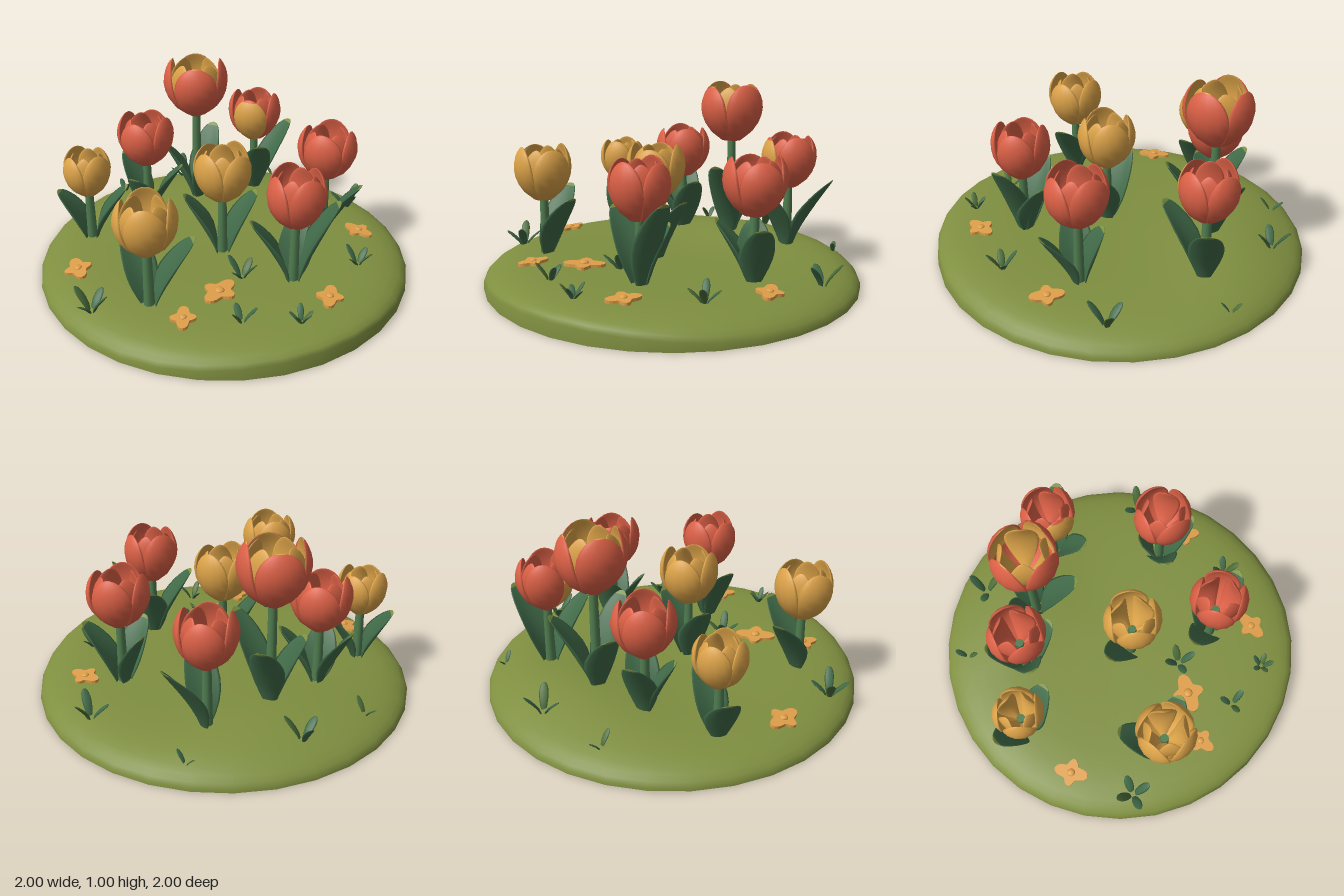
import * as THREE from 'three';
import { mergeVertices } from 'three/addons/utils/BufferGeometryUtils.js';

const mat = (name, color) => {
  const m = new THREE.MeshStandardMaterial({ color });
  m.name = name;
  return m;
};
const moss = mat('moss', 0x7f8f40), red = mat('coral red', 0xdb6046), amber = mat('amber', 0xdba248);
const leafGreen = mat('leaf green', 0x406a48), stemGreen = mat('stem green', 0x507d50);
const olive = mat('olive tip', 0x7d9142), grassGreen = mat('grass green', 0x4a6c3a), orange = mat('orange', 0xdf9f4a);

const { sin, cos, PI, sqrt, pow, exp, max, min, hypot } = Math;

// Height of the mound at a ground position
function groundY(x, z) {
  const r = min(1, hypot(x, z)), fall = max(0, 1 - pow(r, 8));
  const back = 0.05 * exp(-((x - 0.15) ** 2 / 0.25 + (z + 0.6) ** 2 / 0.05));
  const front = 0.03 * max(0, z);
  return 0.01 + 0.105 * pow(fall, 0.6) + fall * back + front * pow(fall, 0.3) + 0.045 * pow(max(0, z), 4) * (1 - fall);
}

function mesh(name, geometry, material, parent) {
  const m = new THREE.Mesh(geometry, material);
  m.name = name;
  parent.add(m);
  return m;
}

// Closed thin blade: rows climb to a tip, each row a lens-shaped ring.
// point(u, q) gives the position, paint(u, q) the material index.
function blade(rows, cols, point, paint = () => 0) {
  const pos = [], lists = [[], []];
  const us = Array.from({ length: rows + 1 }, (_, i) => sin((i / rows) * PI / 2));
  for (const u of us) for (let j = 0; j < cols; j++) pos.push(...point(u, (j / cols) * 2 * PI));
  for (let i = 0; i < rows; i++) for (let j = 0; j < cols; j++) {
    const k = (j + 1) % cols, a = i * cols + j, b = i * cols + k, c = b + cols, d = a + cols;
    lists[paint((us[i] + us[i + 1]) / 2, ((j + 0.5) / cols) * 2 * PI)].push(a, d, c, a, c, b);
  }
  const g = new THREE.BufferGeometry();
  g.setAttribute('position', new THREE.Float32BufferAttribute(pos, 3));
  g.setIndex([...lists[0], ...lists[1]]);
  g.addGroup(0, lists[0].length, 0);
  g.addGroup(lists[0].length, lists[1].length, 1);
  g.computeVertexNormals();
  return g;
}

// Cupped petal around the y axis; flat petals follow a chord instead of an arc
function petal({ R, H, phi, spread, flat = false, paint }) {
  return blade(10, 14, (u, q) => {
    const g = sqrt(max(0, 1 - pow(u, 5)));
    const a = spread * g * cos(q);
    let r = R * pow(sin(PI * (0.03 + 0.75 * u)), 0.55);
    if (flat) r /= cos(a);
    r += 0.014 * g * sin(q) + 0.05 * R * cos(q) * g * u;
    return [r * sin(phi + a), H * u, r * cos(phi + a)];
  }, paint);
}

// Broad leaf leaning outward from the stem, its edges curled inward
function leaf(phi, reach, height, width) {
  return blade(11, 12, (u, q) => {
    const g = (0.3 + 0.7 * sin(PI / 2 * min(1, u / 0.6))) * sqrt(max(0, 1 - pow(u, 4)));
    const t = width * g * cos(q);
    const n = 0.025 + reach * pow(u, 1.35) + 0.014 * g * sin(q) - 0.04 * (g * cos(q)) ** 2;
    return [n * sin(phi) + t * cos(phi), height * u - 0.02, n * cos(phi) - t * sin(phi)];
  }, (u) => (u > 0.96 ? 1 : 0));
}

// Tulips: position, bloom radius, bloom base and top, colour, leaves [dx, dz, tip height]
const tulips = [
  { x: -0.62, z: -0.40, R: 0.12, y0: 0.38, y1: 0.63, c: amber, leaves: [[-0.13, -0.10, 0.38], [0.18, 0.08, 0.42]] },
  { x: -0.24, z: -0.49, R: 0.145, y0: 0.44, y1: 0.73, c: red, leaves: [[-0.06, -0.16, 0.46], [0.15, 0.12, 0.44], [-0.11, 0.08, 0.4]] },
  { x: 0.08, z: -0.50, R: 0.167, y0: 0.68, y1: 1.0, c: red, tipped: true, leaves: [[0.17, -0.13, 0.53], [0.04, 0.24, 0.57], [-0.15, -0.06, 0.48]] },
  { x: 0.45, z: -0.48, R: 0.14, y0: 0.46, y1: 0.745, c: red, patch: true, leaves: [[0.24, -0.01, 0.52], [-0.08, 0.21, 0.5]] },
  { x: -0.05, z: 0.08, R: 0.142, y0: 0.44, y1: 0.73, c: amber, leaves: [[-0.17, -0.09, 0.46], [0.18, 0.02, 0.45]] },
  { x: 0.56, z: 0.13, R: 0.148, y0: 0.45, y1: 0.74, c: red, leaves: [[-0.17, 0.06, 0.42], [0.12, 0.15, 0.43], [-0.05, -0.1, 0.4]] },
  { x: -0.59, z: 0.35, R: 0.143, y0: 0.42, y1: 0.71, c: amber, leaves: [[-0.01, -0.23, 0.46], [0.22, 0.04, 0.46]] },
  { x: 0.14, z: 0.50, R: 0.14, y0: 0.45, y1: 0.745, c: red, leaves: [[0.19, 0.08, 0.57], [-0.2, -0.08, 0.48], [0.08, -0.11, 0.42]] },
];

function makeTulip(t, index) {
  const g = new THREE.Group(), ground = groundY(t.x, t.z);
  g.name = 'tulip';
  g.position.set(t.x, ground, t.z);
  const rise = t.y0 - ground;
  mesh('stem', new THREE.CylinderGeometry(0.022, 0.028, rise + 0.06, 10), stemGreen, g).position.y = rise / 2;
  for (const [dx, dz, top] of t.leaves)
    mesh('leaf', leaf(Math.atan2(dx, dz), hypot(dx, dz) * 0.95, top - ground + 0.02, 0.092), [leafGreen, olive], g);

  const bloom = new THREE.Group();
  bloom.name = 'bloom';
  bloom.position.y = rise;
  g.add(bloom);
  const H = t.y1 - t.y0, turn = t.patch ? PI / 4 : 0.3 + index * 0.4;
  for (let i = 0; i < 4; i++) {
    const phi = turn + i * PI / 2;
    const tip = (u, q) => (t.tipped && (u > 0.97 || (sin(q) < -0.3 && u > 0.4)) ? 1 : 0);
    const patch = (u, q) => (sin(q) > 0 && u < 0.95 ? 1 : 0);
    const painted = t.patch && i === 3;
    mesh('outerPetal', petal({ R: t.R, H: H * (i % 2 ? 0.96 : 1), phi, spread: 0.82, paint: painted ? patch : tip }), [t.c, amber], bloom);
    mesh('innerPetal', petal({ R: t.R * 0.7, H: H * 0.95, phi: phi + PI / 4, spread: 0.66, flat: true }),
      [t.tipped ? amber : t.c, amber], bloom);
  }
  return g;
}

// Grass tuft of short pointed blades fanned around a point
function makeTuft([x, z, count, size, start], index) {
  const g = new THREE.Group();
  g.name = 'grassTuft';
  g.position.set(x, groundY(x, z) - 0.01, z);
  for (let i = 0; i < count; i++) {
    const phi = start + (i * 2 * PI) / count, h = size * (i % 2 ? 0.8 : 1.1), out = size * 0.75;
    const geo = blade(6, 8, (u, q) => {
      const w = size * 0.24 * (0.4 + 1.2 * u) * sqrt(max(0, 1 - u * u)), s = w * cos(q);
      const n = size * 0.12 + out * pow(u, 1.4) + w * 0.35 * sin(q);
      return [n * sin(phi) + s * cos(phi), h * u, n * cos(phi) - s * sin(phi)];
    });
    mesh('grassBlade', geo, (i + index) % 3 === 0 ? grassGreen : leafGreen, g);
  }
  return g;
}

// Flat lobed ground flower with a raised button centre
function makeGroundFlower([x, z, r, turn]) {
  const g = new THREE.Group();
  g.name = 'groundFlower';
  const pts = Array.from({ length: 40 }, (_, i) => {
    const a = (i / 40) * 2 * PI, rad = r * (0.78 + 0.2 * cos(4 * a) + 0.12 * cos(2 * a));
    return new THREE.Vector2(rad * cos(a), rad * sin(a));
  });
  const geo = new THREE.ExtrudeGeometry(new THREE.Shape(pts), { depth: 0.016, bevelEnabled: false }).rotateX(-PI / 2);
  mesh('flowerPetals', geo, orange, g);
  const button = mesh('flowerCentre', new THREE.SphereGeometry(r * 0.25, 10, 6), orange, g);
  button.position.y = 0.016;
  button.scale.y = 0.5;
  const e = 0.05;
  const up = new THREE.Vector3(groundY(x - e, z) - groundY(x + e, z), 2 * e, groundY(x, z - e) - groundY(x, z + e)).normalize();
  g.quaternion.setFromUnitVectors(new THREE.Vector3(0, 1, 0), up)
    .multiply(new THREE.Quaternion().setFromAxisAngle(new THREE.Vector3(0, 1, 0), turn));
  g.position.set(x, groundY(x, z) + 0.003, z);
  return g;
}

export function createModel() {
  const model = new THREE.Group();
  model.name = 'tulipBed';

  // Mound: a turned disc shaped by the ground height, with a flat base
  const radii = [1, 0.998, 0.985, 0.96, 0.92, 0.86, 0.78, 0.66, 0.52, 0.36, 0.18, 0.0001];
  let top = new THREE.LatheGeometry(radii.map((r) => new THREE.Vector2(r, 0)), 32);
  const p = top.attributes.position;
  for (let i = 0; i < p.count; i++) if (i % radii.length) p.setY(i, groundY(p.getX(i), p.getZ(i)));
  top.deleteAttribute('uv');
  top.deleteAttribute('normal');
  top = mergeVertices(top);
  top.computeVertexNormals();
  mesh('mound', top, moss, model);
  mesh('moundBase', new THREE.CircleGeometry(1, 32).rotateX(PI / 2), moss, model);

  tulips.forEach((t, i) => model.add(makeTulip(t, i)));

  // Tufts: x, z, blade count, size, starting angle
  [[-0.26, -0.83, 2, 0.075, 0], [0.14, -0.82, 3, 0.11, 2.8], [0.67, -0.62, 2, 0.06, 0.3],
    [0.85, -0.05, 3, 0.11, 1.9], [-0.85, 0.24, 4, 0.11, 0.6], [-0.08, 0.36, 4, 0.1, 0.5],
    [0.52, 0.53, 4, 0.09, 0.4], [-0.26, 0.69, 3, 0.085, 1.0], [-0.01, 0.82, 5, 0.07, 0.2],
  ].forEach((t, i) => model.add(makeTuft(t, i)));

  // Ground flowers: x, z, radius, turn
  [[-0.80, -0.11, 0.085, 1.5], [-0.50, 0.55, 0.075, 1.1], [-0.25, 0.44, 0.1, 0.5],
    [0.21, 0.73, 0.08, 0.9], [0.715, 0.26, 0.08, 1.9],
  ].forEach((f) => model.add(makeGroundFlower(f)));

  return model;
}
